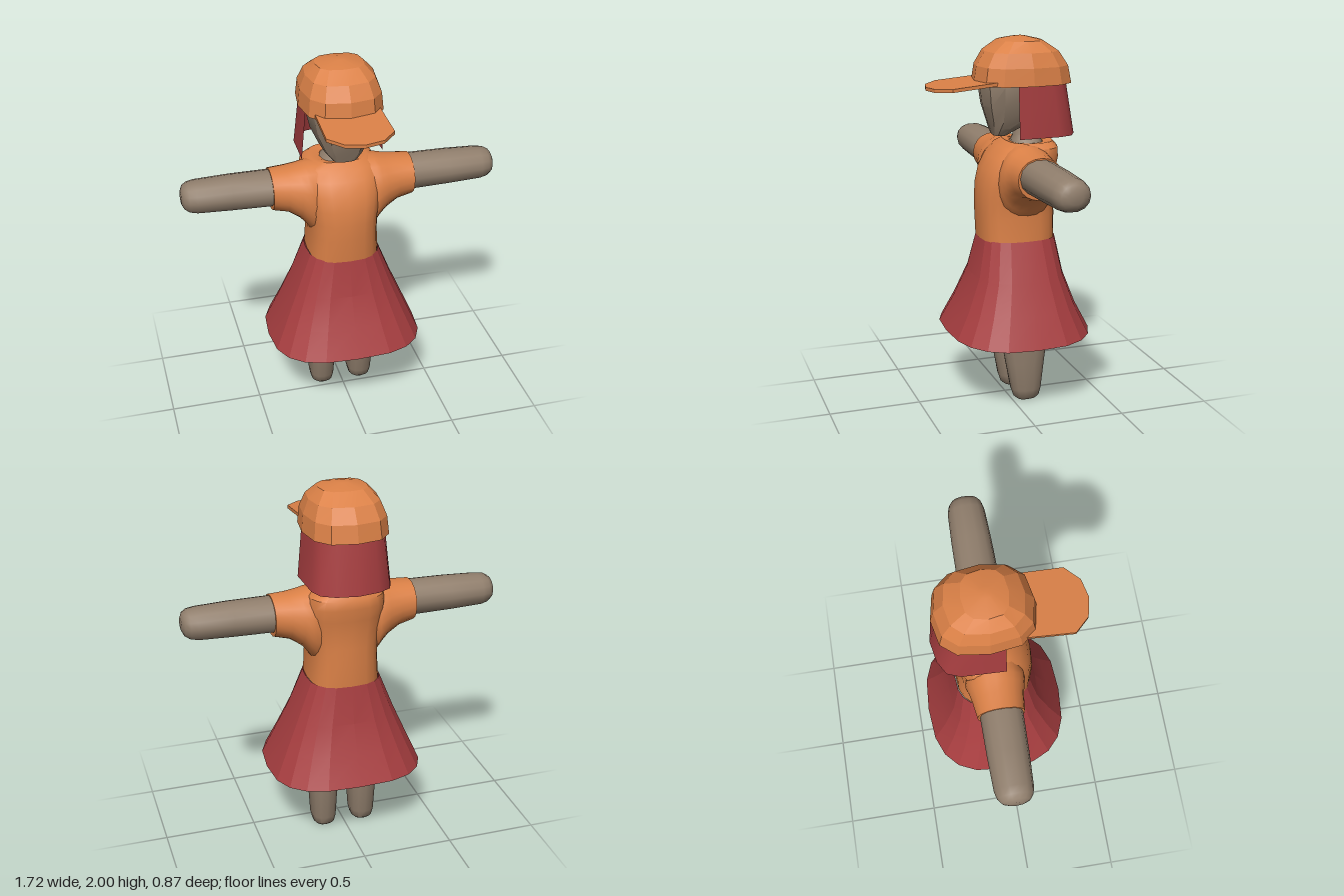
import * as THREE from 'three';
import { toCreasedNormals } from 'three/addons/utils/BufferGeometryUtils.js';

const material = (name, color, both) => {
  const m = new THREE.MeshStandardMaterial({ color });
  m.name = name;
  if (both) m.side = THREE.DoubleSide;
  return m;
};

function surface(pos, index) {
  const g = new THREE.BufferGeometry();
  g.setAttribute('position', new THREE.Float32BufferAttribute(pos, 3));
  g.setIndex(index);
  return g;
}

// Loft through horizontal rings [y, centreX, centreZ, radiusX, radiusZ];
// power above 2 squares the cross-section, edges sharper than crease stay hard.
function loft(rings, segs, power, { crease = 0.75, low = true, high = true } = {}) {
  const pos = [], index = [];
  const bend = (t) => Math.sign(t) * Math.pow(Math.abs(t), 2 / power);
  for (const [y, cx, cz, rx, rz] of rings) {
    for (let i = 0; i < segs; i++) {
      const a = (i / segs) * Math.PI * 2;
      pos.push(cx + rx * bend(Math.sin(a)), y, cz + rz * bend(Math.cos(a)));
    }
  }
  for (let k = 0; k < rings.length - 1; k++) {
    for (let i = 0; i < segs; i++) {
      const j = (i + 1) % segs, p = k * segs, q = p + segs;
      index.push(p + i, p + j, q + j, p + i, q + j, q + i);
    }
  }
  const cap = (k, up) => {
    const [y, cx, cz] = rings[k], c = pos.length / 3;
    pos.push(cx, y, cz);
    for (let i = 0; i < segs; i++) {
      const a = k * segs + i, b = k * segs + ((i + 1) % segs);
      index.push(c, up ? a : b, up ? b : a);
    }
  };
  if (low) cap(0, false);
  if (high) cap(rings.length - 1, true);
  return toCreasedNormals(surface(pos, index), crease);
}

// Sideways loft from rows [x, yLow, yHigh, zBack, zFront], on the side s = +1 or -1
function limb(rows, segs, s, power) {
  const rings = rows.map(([x, y0, y1, z0, z1]) =>
    [x, -s * (y0 + y1) / 2, (z0 + z1) / 2, (y1 - y0) / 2, (z1 - z0) / 2]);
  return loft(rings, segs, power).rotateZ(-s * Math.PI / 2);
}

export function createModel() {
  const group = new THREE.Group();
  const skin = material('skin', 0x917f6d);
  const orange = material('orange cloth', 0xdb8147, true);
  const red = material('red', 0xa73e40, true);
  const add = (name, geometry, mat) => {
    const mesh = new THREE.Mesh(geometry, mat);
    mesh.name = name;
    group.add(mesh);
  };

  // Head with a narrow chin, and the neck
  add('head', loft([
    [1.48, 0, 0.035, 0.062, 0.035],
    [1.52, 0, 0.005, 0.1, 0.08],
    [1.56, 0, -0.04, 0.125, 0.14],
    [1.64, 0, -0.07, 0.162, 0.195],
    [1.75, 0, -0.075, 0.187, 0.215],
    [1.85, 0, -0.075, 0.17, 0.19],
  ], 12, 2.7, { crease: 0.4 }), skin);
  add('neck', loft([
    [1.38, 0, -0.11, 0.13, 0.1],
    [1.44, 0, -0.12, 0.1, 0.085],
    [1.475, 0, -0.12, 0.062, 0.075],
    [1.6, 0, -0.12, 0.06, 0.07],
  ], 12, 2), skin);

  // Hair: open U-shaped sheet around the back, flaring downwards
  const top = [[0.195, -0.01], [0.19, -0.2], [0.165, -0.255], [0.1, -0.305], [0, -0.318]];
  const low = [[0.22, -0.01], [0.212, -0.24], [0.185, -0.31], [0.115, -0.35], [0, -0.37]];
  const whole = (half) => [...half, ...half.slice(0, -1).reverse().map(([x, z]) => [-x, z])];
  const hairPos = [], hairIndex = [];
  whole(top).forEach(([x, z], i) => {
    const [lx, lz] = whole(low)[i];
    hairPos.push(x, 1.775, z, lx, 1.485, lz);
    if (i) {
      const a = 2 * i - 2;
      hairIndex.push(a, a + 2, a + 1, a + 1, a + 2, a + 3);
    }
  });
  add('hair', toCreasedNormals(surface(hairPos, hairIndex), 1), red);

  // Cap crown
  add('capCrown', loft([
    [1.757, 0, -0.09, 0.218, 0.262],
    [1.85, 0, -0.088, 0.209, 0.245],
    [1.925, 0, -0.085, 0.18, 0.197],
    [1.98, 0, -0.082, 0.128, 0.115],
    [2.0, 0, -0.08, 0.03, 0.03],
  ], 12, 2.75, { crease: 0.25, low: false }), orange);

  // Cap brim, sloping down towards its tip
  const brimShape = new THREE.Shape([
    [-0.17, 0.05], [0.17, 0.05], [0.175, 0.335], [0.1, 0.41], [0, 0.432],
    [-0.1, 0.41], [-0.175, 0.335],
  ].map(([x, y]) => new THREE.Vector2(x, y)));
  const brim = new THREE.ExtrudeGeometry(brimShape, { depth: 0.018, bevelEnabled: false });
  brim.rotateX(Math.PI / 2);
  const bp = brim.attributes.position;
  for (let i = 0; i < bp.count; i++) bp.setY(i, bp.getY(i) + 1.789 - 0.09 * bp.getZ(i));
  brim.computeVertexNormals();
  add('capBrim', brim, orange);

  // Shirt body
  add('shirt', loft([
    [0.92, 0, -0.055, 0.193, 0.204],
    [1.05, 0, -0.052, 0.185, 0.208],
    [1.14, 0, -0.05, 0.188, 0.207],
    [1.22, 0, -0.053, 0.2, 0.203],
    [1.3, 0, -0.067, 0.212, 0.197],
    [1.37, 0, -0.092, 0.215, 0.183],
    [1.42, 0, -0.115, 0.2, 0.157],
    [1.448, 0, -0.125, 0.155, 0.125],
    [1.438, 0, -0.12, 0.095, 0.085],
  ], 20, 2.8, { high: false }), orange);

  for (const s of [1, -1]) {
    const side = s > 0 ? 'left' : 'right';
    // Sleeve widening into the shirt
    add(side + 'Sleeve', limb([
      [0.1, 1.02, 1.445, -0.2, 0.08],
      [0.175, 1.05, 1.445, -0.222, 0.092],
      [0.2, 1.09, 1.44, -0.222, 0.09],
      [0.235, 1.13, 1.432, -0.212, 0.08],
      [0.3, 1.175, 1.422, -0.2, 0.066],
      [0.385, 1.197, 1.417, -0.188, 0.058],
    ], 20, s, 2.1), orange);

    // Arm with a rounded end
    add(side + 'Arm', limb([
      [0.34, 1.22, 1.41, -0.176, 0.048],
      [0.6, 1.225, 1.408, -0.174, 0.042],
      [0.78, 1.231, 1.401, -0.168, 0.034],
      [0.82, 1.24, 1.394, -0.158, 0.025],
      [0.845, 1.257, 1.379, -0.138, 0.006],
      [0.858, 1.285, 1.352, -0.105, -0.025],
    ], 14, s, 2.15), skin);

    // Leg tapering to a blunt foot
    add(side + 'Leg', loft([
      [0, s * 0.112, -0.085, 0.045, 0.055],
      [0.015, s * 0.112, -0.085, 0.06, 0.072],
      [0.06, s * 0.112, -0.083, 0.07, 0.085],
      [0.22, s * 0.112, -0.077, 0.077, 0.11],
      [0.4, s * 0.113, -0.072, 0.083, 0.14],
      [0.75, s * 0.1, -0.06, 0.09, 0.155],
    ], 14, 2.5), skin);
  }

  // Hips under the skirt
  add('hips', loft([
    [0.68, 0, -0.06, 0.17, 0.14],
    [0.75, 0, -0.06, 0.185, 0.165],
    [0.9, 0, -0.06, 0.18, 0.18],
  ], 12, 2.4), skin);

  // Skirt: open cone, its hem dipping at the sides
  const skirt = loft([
    [0.405, 0, -0.048, 0.425, 0.39],
    [0.55, 0, -0.05, 0.355, 0.314],
    [0.72, 0, -0.055, 0.28, 0.247],
    [0.925, 0, -0.058, 0.198, 0.205],
  ], 20, 2.75, { crease: 0.2, low: false, high: false });
  const sp = skirt.attributes.position;
  for (let i = 0; i < sp.count; i++) {
    if (sp.getY(i) < 0.45) sp.setY(i, 0.407 - 0.09 * sp.getX(i) ** 2);
  }
  add('skirt', skirt, red);

  return group;
}
